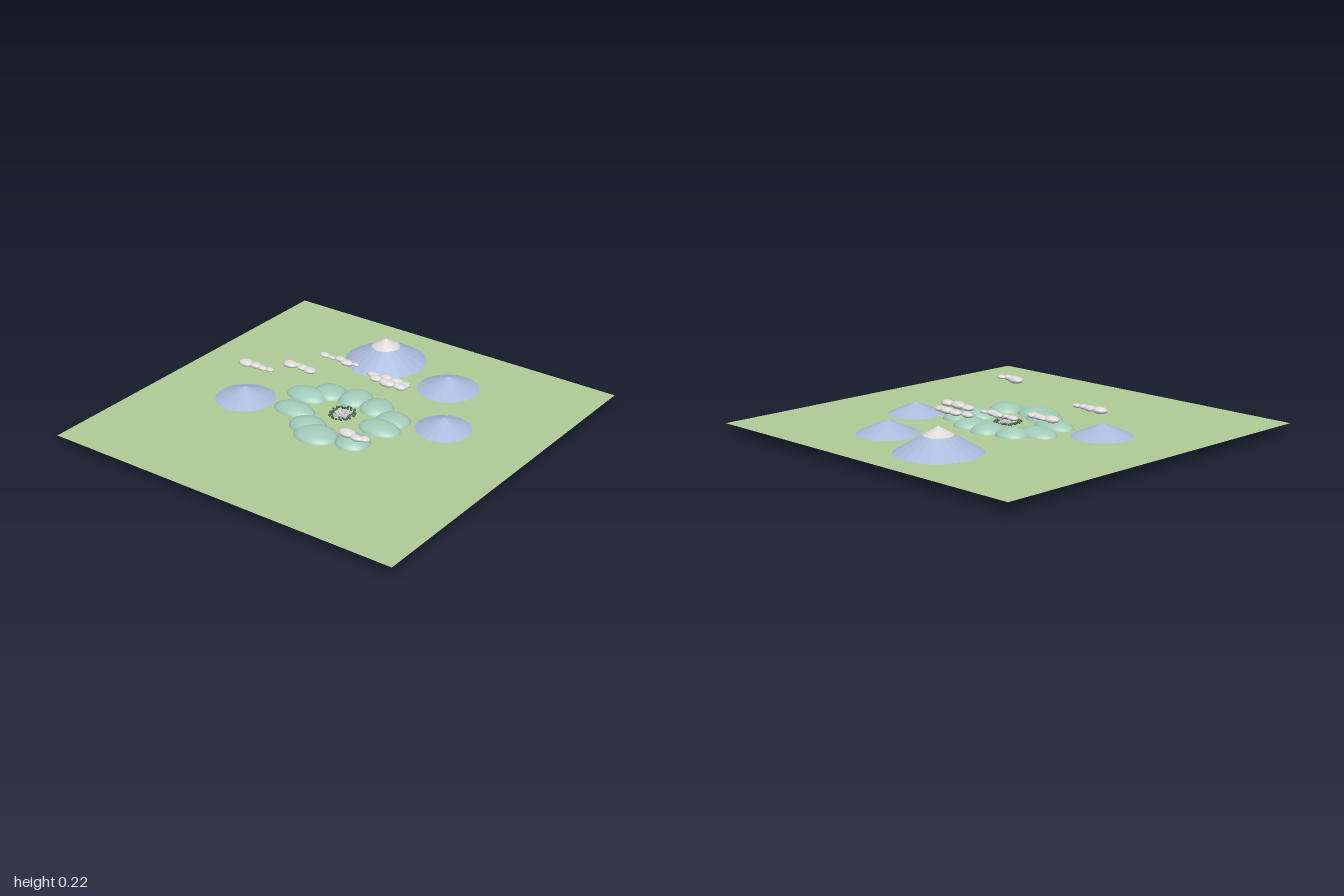
import * as THREE from 'three';

const GROUND = 0.058;

function mat(name, color, extra = {}) {
  const m = new THREE.MeshStandardMaterial({ color, ...extra });
  m.name = name;
  return m;
}

export function createModel() {
  const model = new THREE.Group();
  model.name = 'valleyLandscape';

  const grass = mat('grass', 0xaecb96, { side: THREE.DoubleSide });
  const hillGreen = mat('hillGreen', 0xa2cbb8);
  const mountainBlue = mat('mountainBlue', 0xabbadc, { flatShading: true });
  const snow = mat('snow', 0xdedad8, { flatShading: true });
  const cloudWhite = mat('cloudWhite', 0xdedada);
  const treeGreen = mat('treeGreen', 0x44604f);
  const houseWall = mat('houseWall', 0xd8d2d4);

  const add = (parent, name, geometry, material, x, y, z) => {
    const mesh = new THREE.Mesh(geometry, material);
    mesh.name = name;
    mesh.position.set(x, y, z);
    parent.add(mesh);
    return mesh;
  };
  const group = (name) => {
    const g = new THREE.Group();
    g.name = name;
    model.add(g);
    return g;
  };

  // Flat meadow
  add(model, 'ground', new THREE.PlaneGeometry(2, 2).rotateX(-Math.PI / 2), grass, 0, GROUND, 0);

  // Mountains, their feet sunk a little below the meadow: x, z, radius, apex height
  const mountains = group('mountains');
  const base = 0.047;
  for (const [x, z, r, top] of [
    [-0.18, -0.64, 0.239, 0.184],
    [0.27, -0.56, 0.188, 0.127],
    [0.49, -0.18, 0.17, 0.121],
    [-0.51, 0.14, 0.182, 0.124],
  ]) {
    const h = top - base;
    add(mountains, 'mountain', new THREE.ConeGeometry(r, h, 20), mountainBlue, x, base + h / 2, z);
  }
  // Snow cap on the tallest mountain
  add(mountains, 'snowCap', new THREE.ConeGeometry(0.075, 0.044, 20), snow, -0.18, 0.165, -0.64);

  // Ring of rounded hills: x, z, half width, half depth
  const hills = group('hills');
  const ball = new THREE.SphereGeometry(1, 24, 16);
  for (const [x, z, w, d] of [
    [-0.19, -0.155, 0.094, 0.09],
    [-0.045, -0.18, 0.089, 0.098],
    [0.1, -0.16, 0.089, 0.094],
    [0.245, -0.095, 0.094, 0.087],
    [0.238, 0.012, 0.117, 0.083],
    [0.213, 0.202, 0.093, 0.09],
    [0.022, 0.246, 0.121, 0.1],
    [-0.07, 0.19, 0.103, 0.087],
    [-0.225, 0.099, 0.12, 0.076],
    [-0.27, -0.067, 0.119, 0.082],
  ]) {
    add(hills, 'hill', ball, hillGreen, x, 0.05, z).scale.set(w, 0.047, d);
  }

  // Clouds: height, then puffs as x, z, half width, half depth
  const clouds = group('clouds');
  const puff = new THREE.SphereGeometry(1, 16, 10);
  for (const [y, puffs] of [
    [0.187, [[-0.323, -0.29, 0.03, 0.022], [-0.275, -0.285, 0.022, 0.015], [-0.225, -0.296, 0.034, 0.021],
      [-0.175, -0.28, 0.037, 0.024], [-0.128, -0.291, 0.022, 0.015]]],
    [0.155, [[-0.022, -0.302, 0.037, 0.023], [0.053, -0.312, 0.038, 0.026], [0.118, -0.306, 0.043, 0.028],
      [0.17, -0.3, 0.033, 0.028]]],
    [0.172, [[0.032, -0.248, 0.037, 0.027], [0.107, -0.238, 0.048, 0.029], [0.18, -0.243, 0.04, 0.028]]],
    [0.17, [[-0.422, -0.125, 0.043, 0.032], [-0.38, -0.14, 0.025, 0.02], [-0.345, -0.13, 0.035, 0.025],
      [-0.298, -0.125, 0.036, 0.028]]],
    [0.209, [[-0.566, 0.057, 0.043, 0.032], [-0.508, 0.052, 0.036, 0.026], [-0.462, 0.057, 0.03, 0.02],
      [-0.42, 0.052, 0.026, 0.017]]],
    [0.188, [[0.273, 0.33, 0.048, 0.032], [0.337, 0.345, 0.037, 0.021], [0.374, 0.33, 0.028, 0.024]]],
  ]) {
    const cloud = new THREE.Group();
    cloud.name = 'cloud';
    clouds.add(cloud);
    for (const [x, z, w, d] of puffs) {
      add(cloud, 'cloudPuff', puff, cloudWhite, x, y, z).scale.set(w, w * 0.4, d);
    }
  }

  // Village in the middle: small houses circled by trees
  let seed = 7;
  const rand = () => (seed = (seed * 16807) % 2147483647) / 2147483647;
  const village = group('village');
  const house = new THREE.BoxGeometry(0.014, 0.014, 0.012);
  for (let i = 0; i < 14; i++) {
    const a = i * 2.4;
    const r = 0.011 * Math.sqrt(i);
    add(village, 'house', house, houseWall, r * Math.cos(a), GROUND + 0.007, r * Math.sin(a) - 0.004).rotation.y = a;
  }
  const tree = new THREE.SphereGeometry(0.006, 8, 6);
  for (let i = 0; i < 52; i++) {
    const a = i * 2.4;
    const r = 0.046 + 0.027 * rand();
    add(village, 'tree', tree, treeGreen, r * Math.cos(a), GROUND + 0.007 + 0.004 * rand(), r * Math.sin(a) - 0.004);
  }

  return model;
}
